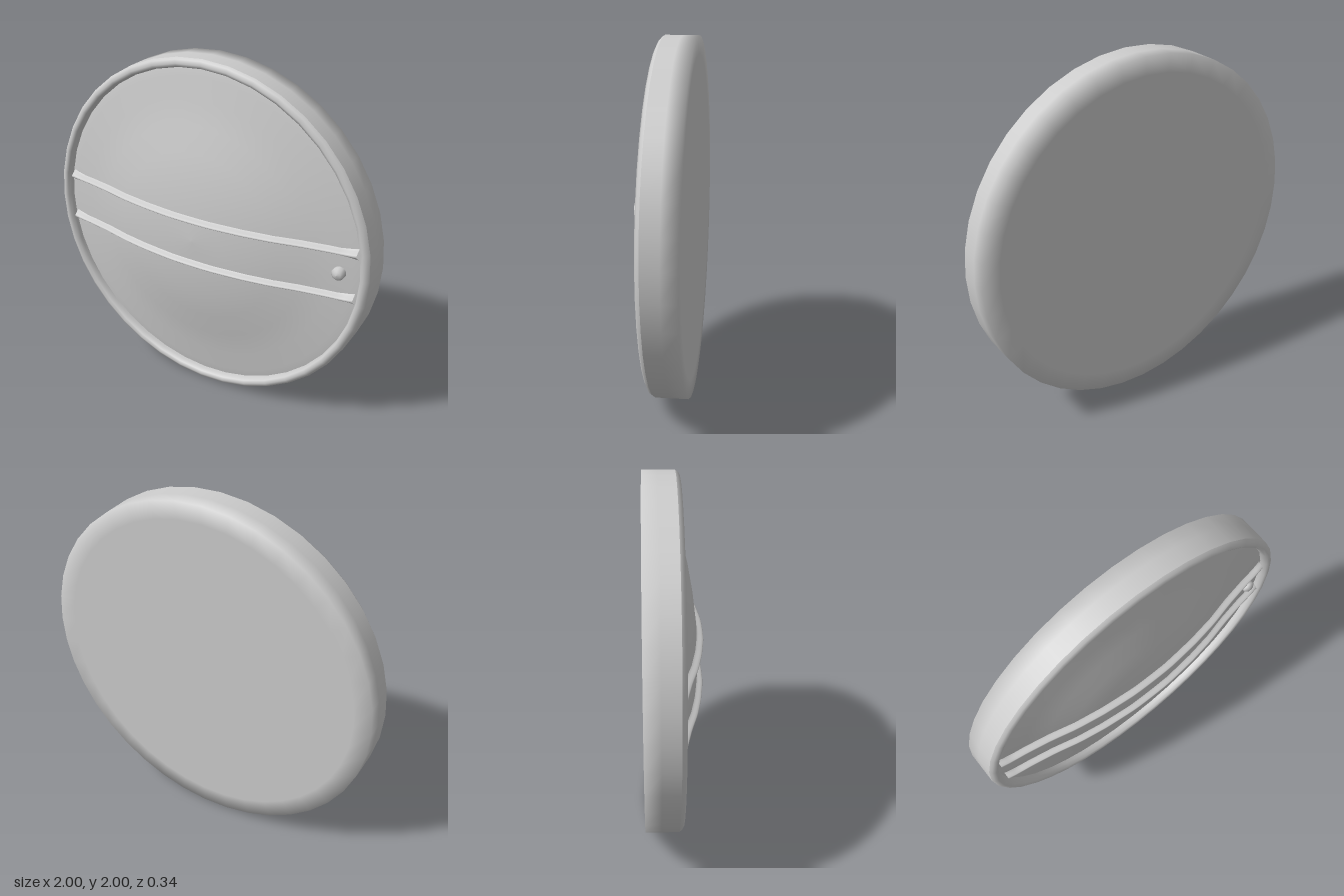
import * as THREE from 'three';
import { ParametricGeometry } from 'three/addons/geometries/ParametricGeometry.js';

// Domed face, as [radius, z] from the lip to the centre
const domeProfile = [[0.945, -0.01], [0.9, 0], [0.78, 0.018], [0.64, 0.045], [0.5, 0.08],
  [0.35, 0.106], [0.18, 0.126], [0, 0.132]];

// Height of the dome at a given radius
function domeHeight(r) {
  const i = domeProfile.findIndex(([radius]) => radius <= r);
  if (i === 0) return domeProfile[0][1];
  const [r0, z0] = domeProfile[i - 1];
  const [r1, z1] = domeProfile[i];
  return THREE.MathUtils.mapLinear(r, r0, r1, z0, z1);
}

// Spin a [radius, z] profile around the z axis
function spin(profile, segments = 40) {
  const points = profile.map(([r, z]) => new THREE.Vector2(r, z));
  return new THREE.LatheGeometry(points, segments).rotateX(Math.PI / 2);
}

// Raised ridge that follows the dome and flares a little at its ends
function ribGeometry(y) {
  return new ParametricGeometry((u, v, target) => {
    const x = (u * 2 - 1) * 0.92;
    const t = v * 2 - 1;
    const halfWidth = 0.024 + 0.014 * THREE.MathUtils.smoothstep(Math.abs(x), 0.84, 0.91);
    const yy = y + t * halfWidth;
    const bell = Math.cos(t * Math.PI / 2) ** 2;
    target.set(x, yy, domeHeight(Math.hypot(x, yy)) - 0.003 + 0.038 * bell);
  }, 40, 10);
}

export function createModel() {
  const group = new THREE.Group();
  const grey = new THREE.MeshStandardMaterial({ color: 0xcccccc });
  grey.name = 'grey metal';

  // The disc leans very slightly about the vertical axis
  const disc = new THREE.Group();
  disc.name = 'disc';
  disc.position.y = 1;
  disc.rotation.y = 0.008;
  group.add(disc);

  const add = (name, geometry) => {
    const mesh = new THREE.Mesh(geometry, grey);
    mesh.name = name;
    disc.add(mesh);
    return mesh;
  };

  // Flat back, softly shaded into the straight outer wall
  add('backAndWall', spin([[0, -0.165], [0.9, -0.165], [1, -0.165], [1, -0.08], [1, 0.015]]));

  // Rolled lip around the front
  add('rim', spin([[1, 0.015], [0.99, 0.03], [0.97, 0.04], [0.953, 0.031], [0.945, 0.01], [0.945, -0.015]]));

  // Shallow domed face inside the lip
  add('dome', spin(domeProfile));

  // Two thin ribs across the face
  for (const y of [-0.138, 0.13]) add('rib', ribGeometry(y));

  // Small round stud between the ribs on one side
  const stud = add('stud', spin([[0.036, -0.01], [0.036, 0.022], [0.022, 0.036], [0, 0.04]], 10));
  stud.position.set(0.83, 0.005, 0.012);

  return group;
}
